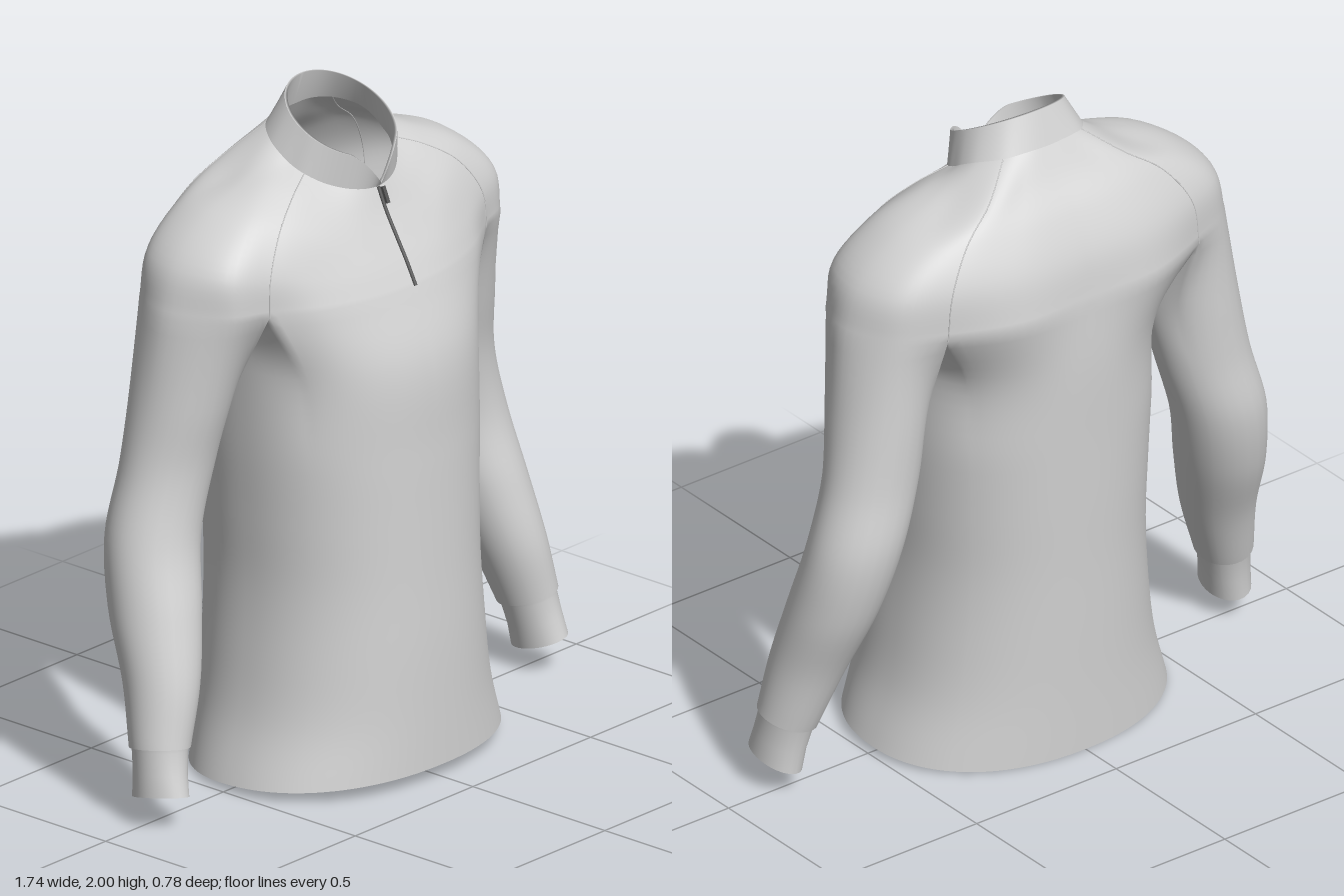
import * as THREE from 'three';
import { mergeGeometries, mergeVertices } from 'three/addons/utils/BufferGeometryUtils.js';

const V = (x, y, z) => new THREE.Vector3(x, y, z);
const N = 6; // samples between two control columns

const fabric = new THREE.MeshStandardMaterial({ color: 0xd2d2d2, side: THREE.DoubleSide });
fabric.name = 'light grey fabric';
const dark = new THREE.MeshStandardMaterial({ color: 0x555555 });
dark.name = 'dark grey zip';

// Smooth half ring (centre front to centre back) through control points
function halfRing(points) {
  const pts = points.map(p => V(...p));
  const mirrored = pts.slice(1, -1).reverse().map(p => V(-p.x, p.y, p.z));
  const curve = new THREE.CatmullRomCurve3([...pts, ...mirrored], true);
  const segments = pts.length - 1;
  return Array.from({ length: segments * N + 1 }, (_, i) => curve.getPoint(i / (2 * segments * N)));
}

// Smooth each column through the rings, giving a grid of rows
function blend(rings, steps) {
  const curves = rings[0].map((_, c) => new THREE.CatmullRomCurve3(rings.map(r => r[c])));
  const count = steps * (rings.length - 1);
  return Array.from({ length: count + 1 }, (_, k) => curves.map(cv => cv.getPoint(k / count)));
}

function skin(rows) {
  const w = rows[0].length, index = [];
  for (let r = 0; r < rows.length - 1; r++) for (let c = 0; c < w - 1; c++) {
    const a = r * w + c, b = a + w;
    index.push(a, b, a + 1, a + 1, b, b + 1);
  }
  const g = new THREE.BufferGeometry().setFromPoints(rows.flat());
  g.setIndex(index);
  return g;
}

function mirror(g) {
  const m = g.clone().scale(-1, 1, 1);
  m.setIndex(Array.from(g.index.array).reverse());
  return m;
}

// Join pieces so that normals run smoothly over the seams
function weld(pieces) {
  const g = mergeVertices(mergeGeometries(pieces), 1e-4);
  g.computeVertexNormals();
  return g;
}

const power = (v, e) => Math.sign(v) * Math.abs(v) ** e;

export function createModel() {
  const group = new THREE.Group();
  const add = (name, geometry, material = fabric) => {
    const mesh = new THREE.Mesh(geometry, material);
    mesh.name = name;
    group.add(mesh);
    return mesh;
  };

  // Yoke: from collar seam over the shoulders to armpit height
  const yokeRings = [
    [[0, 1.735, .14], [.08, 1.745, .125], [.15, 1.77, .08], [.19, 1.8, .03], [.2, 1.82, -.01],
      [.203, 1.845, -.05], [.19, 1.87, -.1], [.14, 1.89, -.16], [.07, 1.9, -.185], [0, 1.9, -.19]],
    [[0, 1.67, .17], [.12, 1.69, .155], [.21, 1.73, .11], [.28, 1.76, .065], [.32, 1.785, 0],
      [.33, 1.79, -.07], [.31, 1.79, -.14], [.24, 1.81, -.225], [.12, 1.82, -.237], [0, 1.82, -.24]],
    [[0, 1.6, .21], [.15, 1.61, .2], [.275, 1.66, .155], [.38, 1.69, .105], [.46, 1.715, .04],
      [.49, 1.725, -.085], [.45, 1.725, -.2], [.35, 1.73, -.265], [.18, 1.73, -.302], [0, 1.73, -.305]],
    [[0, 1.535, .248], [.165, 1.54, .237], [.32, 1.56, .19], [.45, 1.58, .135], [.57, 1.6, .075],
      [.62, 1.61, -.08], [.57, 1.61, -.225], [.43, 1.61, -.3], [.22, 1.61, -.358], [0, 1.61, -.36]],
    [[0, 1.47, .282], [.17, 1.47, .268], [.33, 1.47, .217], [.46, 1.47, .14], [.58, 1.47, .088],
      [.667, 1.47, -.08], [.6, 1.47, -.23], [.45, 1.47, -.305], [.24, 1.47, -.383], [0, 1.47, -.383]],
  ].map(halfRing);
  const yokeRows = blend(yokeRings, 6);
  const base = yokeRows[yokeRows.length - 1];

  // Underarm line shared by the torso and the sleeve
  const front = base[3 * N], back = base[7 * N];
  const underarm = Array.from({ length: 4 * N - 1 }, (_, i) => {
    const t = (i + 1) / (4 * N), dip = Math.sin(Math.PI * t);
    const p = front.clone().lerp(back, t);
    return V(p.x - .035 * dip, p.y - .11 * dip, p.z);
  });

  // Torso: height, half width, front z, back z
  const torsoTop = [...base.slice(0, 3 * N + 1), ...underarm, ...base.slice(7 * N)];
  const torsoRings = [
    [1.26, .412, .353, -.388], [1, .402, .366, -.381], [.8, .392, .372, -.376], [.6, .387, .378, -.37],
    [.4, .402, .385, -.366], [.2, .432, .388, -.362], [.02, .488, .39, -.36],
  ].map(([y, w, zf, zb]) => torsoTop.map(p => {
    const a = Math.atan2(p.x / .46, (p.z + .05) / .335);
    const x = w * power(Math.sin(a), .91);
    const z = (zf + zb) / 2 + (zf - zb) / 2 * power(Math.cos(a), .91);
    return V(Math.abs(x) < 1e-6 ? 0 : x, y + (y < .1 ? .055 * z : 0), z);
  }));

  // Sleeve: height, centre x, half x, centre z, half z, tilt
  const sleeveTop = [...base.slice(3 * N, 7 * N + 1), ...[...underarm].reverse(), front];
  const sleeveRing = ([y, cx, rx, cz, rz, tilt = 0]) => sleeveTop.map(p => {
    const a = Math.atan2((p.x - .56) / .11, (p.z + .09) / .23);
    const dx = rx * Math.sin(a), dz = rz * Math.cos(a);
    return V(cx + dx, y + tilt * (dx + dz), cz + dz);
  });
  const sleeveRings = [
    [1.2, .557, .143, -.11, .152], [1, .593, .142, -.13, .132], [.8, .65, .14, -.133, .135],
    [.6, .692, .128, -.088, .138], [.4, .735, .105, -.025, .115, .08], [.225, .781, .083, .01, .092, .18],
  ].map(sleeveRing);

  const yoke = skin(yokeRows);
  const torso = skin(blend([torsoTop, ...torsoRings], 6));
  const sleeve = skin(blend([sleeveTop, ...sleeveRings], 6));
  const pieces = { yokeLeft: yoke, torsoLeft: torso, sleeveLeft: sleeve,
    yokeRight: mirror(yoke), torsoRight: mirror(torso), sleeveRight: mirror(sleeve) };
  const shirt = weld(Object.values(pieces));
  let start = 0;
  for (const [name, piece] of Object.entries(pieces)) {
    const part = shirt.clone();
    part.setIndex(Array.from(shirt.index.array.slice(start, start + piece.index.count)));
    start += piece.index.count;
    add(name, part);
  }

  // Cuffs: narrower bands tucked into the sleeve ends
  const cuff = skin([
    [.24, .78, .08, .01, .089, .18], [.215, .784, .074, .013, .084, .18],
    [.15, .796, .068, .025, .085, .2], [.088, .805, .065, .035, .092, .22],
  ].map(sleeveRing));
  add('cuffLeft', weld([cuff]));
  add('cuffRight', weld([mirror(cuff)]));

  // Stand collar: two layers, sloping forward, with a notch at the zip
  const collarBase = yokeRows[0];
  const rim = scale => collarBase.map((p, i) => {
    const a = Math.atan2(p.x / .203, (p.z + .025) / .165);
    const x = i === 0 || i === collarBase.length - 1 ? 0 : .166 * Math.sin(a), z = .154 * Math.cos(a);
    const notch = z > 0 ? .09 * Math.max(0, 1 - x / .1) ** 1.5 : 0;
    return V(x * scale, 1.92 - .53 * z - notch, z * scale);
  });
  const outer = rim(1), inner = rim(.95);
  const mid = outer.map((p, i) => p.clone().lerp(collarBase[i], .5));
  const lining = collarBase.map(p => V(p.x * .93, p.y, (p.z + .025) * .93 - .025));
  const collarOuter = skin([outer, mid, collarBase]);
  const collarInner = skin([lining, inner, outer]);
  add('collar', weld([collarOuter, mirror(collarOuter)]));
  add('collarLining', weld([collarInner, mirror(collarInner)]));

  // Raglan seams: fine raised lines between body and sleeves
  for (const [name, column] of [['frontSeam', 3 * N], ['backSeam', 7 * N]]) {
    const path = new THREE.CatmullRomCurve3(yokeRows.map(r => r[column]));
    const seam = new THREE.TubeGeometry(path, 40, .002, 5);
    add(name + 'Left', seam);
    add(name + 'Right', mirror(seam));
  }

  // Zip down the chest with its pull tab
  const zipPath = new THREE.CatmullRomCurve3(yokeRows.map(r => V(0, r[0].y, r[0].z + .001)));
  add('zip', new THREE.TubeGeometry(zipPath, 40, .006, 6), dark);
  const pull = add('zipPull', new THREE.BoxGeometry(.012, .05, .008), dark);
  pull.position.set(.008, 1.712, .162);
  pull.rotation.x = -.4;

  return group;
}
